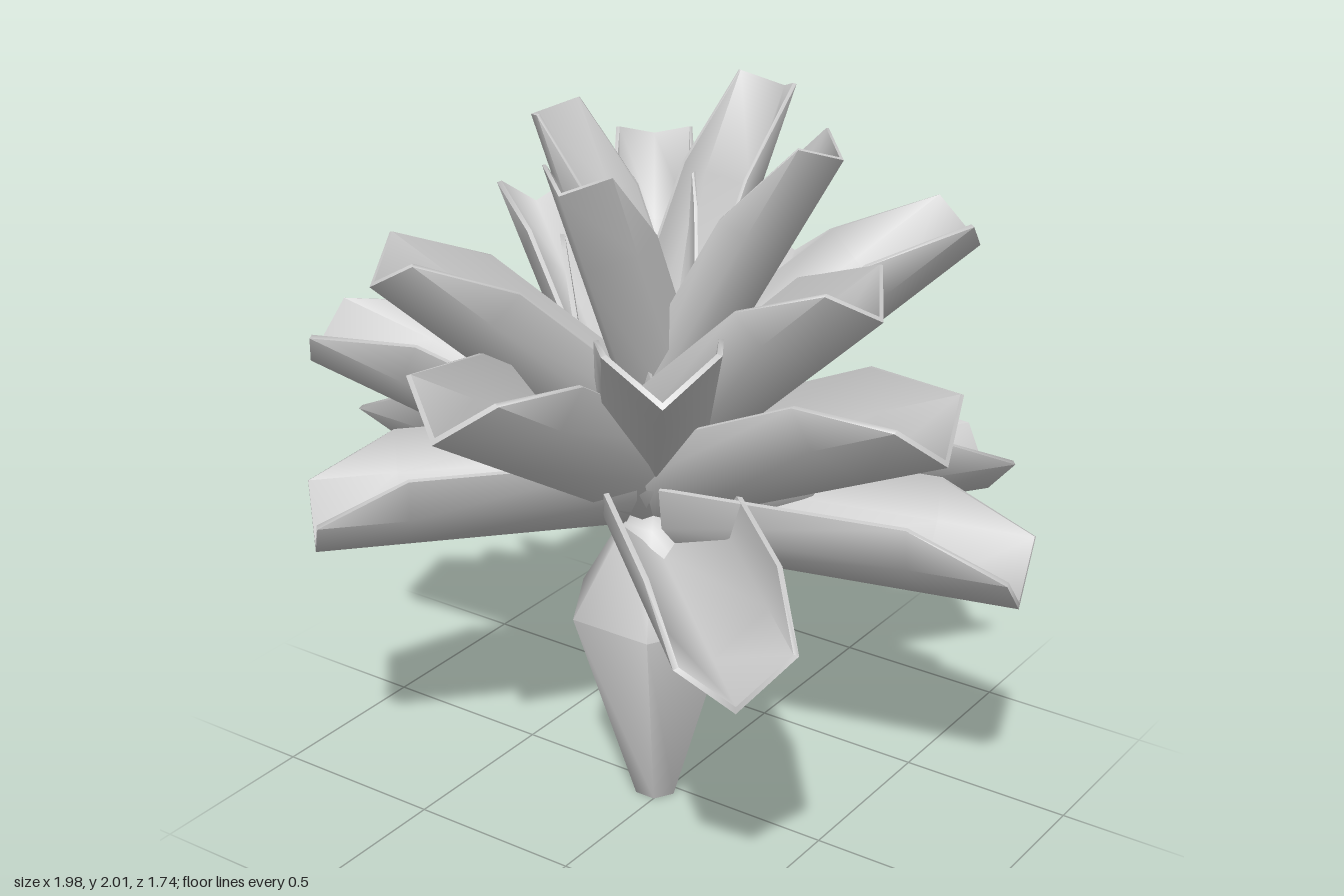
import * as THREE from 'three';
import { toCreasedNormals } from 'three/addons/utils/BufferGeometryUtils.js';

const CENTER_X = -0.03, CENTER_Z = 0.03;
const material = new THREE.MeshStandardMaterial({ color: 0xcccccc, side: THREE.DoubleSide });

// Half of the folded leaf section, keel to rim: [sideways, up]
const UNDER = [[0, 0], [0.155, 0.14], [0.175, 0.26]];
const UPPER = [[0, 0.02], [0.141, 0.146], [0.161, 0.262]];

// Closed section loop; at the tip the rim is cut back to the middle corner
function sectionLoop(isTip) {
  const half = (pts) => (isTip ? [pts[0], pts[1], pts[1]] : pts);
  const strip = (pts) => {
    const h = half(pts);
    return [...h.slice(1).reverse().map(([x, y]) => [-x, y]), ...h];
  };
  return [...strip(UNDER), ...strip(UPPER).reverse()];
}

// Folded leaf running along +z from start to length
function leafGeometry(start, length, scale) {
  const rows = [[start, false], [length * 0.74, false], [length, true]];
  const positions = [], index = [], n = 10;
  for (const [z, isTip] of rows) {
    for (const [x, y] of sectionLoop(isTip)) positions.push(x * scale, y * scale, z);
  }
  for (let r = 0; r < rows.length - 1; r++) {
    for (let i = 0; i < n; i++) {
      const a = r * n + i, b = r * n + (i + 1) % n;
      index.push(a, b, a + n, b, b + n, a + n);
    }
  }
  // End caps between under and upper layers
  const last = (rows.length - 1) * n;
  for (let i = 0; i < 4; i++) {
    const j = 9 - i;
    index.push(i, j, i + 1, i + 1, j, j - 1);
    index.push(last + i, last + i + 1, last + j, last + i + 1, last + j - 1, last + j);
  }
  const g = new THREE.BufferGeometry();
  g.setAttribute('position', new THREE.Float32BufferAttribute(positions, 3));
  g.setIndex(index);
  return toCreasedNormals(g, 1.53);
}

// Leaf whose keel runs from the stem axis at baseY to the given tip
function makeLeaf(name, [x, y, z], baseY, start, scale) {
  const base = new THREE.Vector3(CENTER_X, baseY, CENTER_Z);
  const along = new THREE.Vector3(x, y, z).sub(base);
  const length = along.length();
  along.normalize();
  const side = new THREE.Vector3(0, 1, 0).cross(along).normalize();
  const up = along.clone().cross(side);
  const leaf = new THREE.Mesh(leafGeometry(start, length, scale), material);
  leaf.name = name;
  leaf.quaternion.setFromRotationMatrix(new THREE.Matrix4().makeBasis(side, up, along));
  leaf.position.copy(base);
  return leaf;
}

// Tiers from the flat outer leaves to the steep inner ones
const TIERS = [
  { name: 'lowerLeaf', rise: 0, start: 0.08, scale: 1, tips: [
    [0.96, 0.77, -0.21], [0.65, 0.77, 0.66], [-0.66, 0.85, 0.7],
    [-0.98, 0.85, -0.01], [-0.9, 0.77, -0.48], [0.56, 0.79, -0.79]] },
  { name: 'middleLeaf', baseY: 0.84, start: 0.04, scale: 1, tips: [
    [0.89, 1.27, 0.09], [-0.1, 1.36, 0.86], [-0.9, 1.25, 0.42],
    [-0.69, 1.33, -0.66], [-0.12, 1.35, -0.82]] },
  { name: 'upperLeaf', baseY: 0.93, start: 0.03, scale: 0.9, tips: [
    [0.5, 1.56, 0.75], [-0.49, 1.61, 0.62], [-0.77, 1.49, -0.42],
    [0.57, 1.57, -0.64], [0.66, 1.58, 0.03]] },
  { name: 'innerLeaf', baseY: 1.0, start: 0.02, scale: 0.66, tips: [
    [0.48, 1.94, -0.06], [0.05, 1.96, -0.48], [0, 1.9, 0.47],
    [-0.4, 1.94, 0.06], [-0.28, 1.81, -0.33]] },
];

export function createModel() {
  const model = new THREE.Group();
  model.name = 'plant';

  // Six-sided bulbous stem
  const profile = [[0, 0], [0.062, 0], [0.247, 0.6], [0.09, 0.86], [0, 0.9]]
    .map(([r, y]) => new THREE.Vector2(r, y));
  const stem = new THREE.Mesh(
    toCreasedNormals(new THREE.LatheGeometry(profile, 6, Math.PI / 2), 1.15), material);
  stem.name = 'stem';
  stem.position.set(CENTER_X, 0, CENTER_Z);
  model.add(stem);

  // Leaf crown
  for (const { name, baseY, start, scale, tips } of TIERS) {
    const tier = new THREE.Group();
    tier.name = name + 'Tier';
    for (const tip of tips) tier.add(makeLeaf(name, tip, baseY ?? tip[1], start, scale));
    model.add(tier);
  }
  return model;
}
